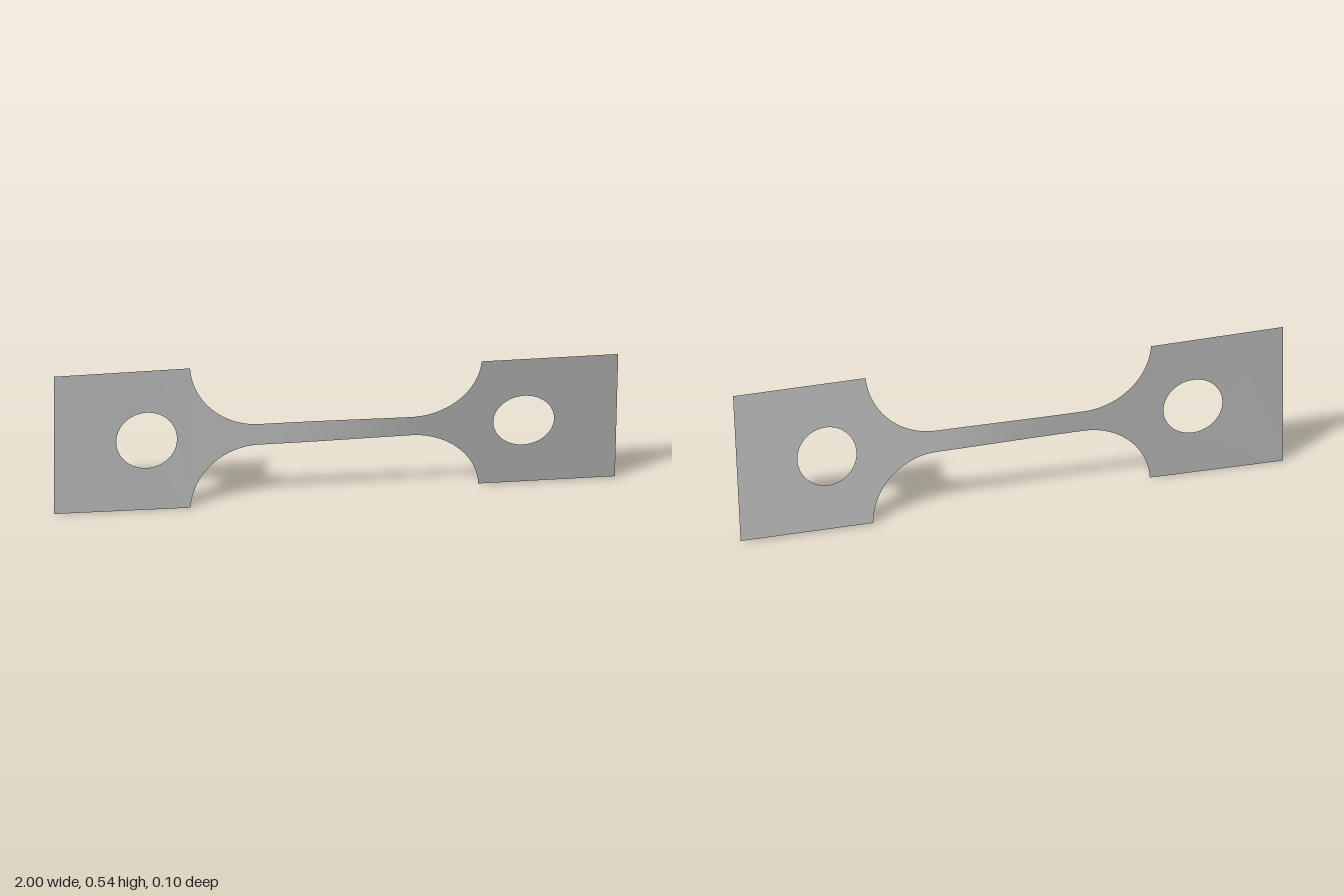
import * as THREE from 'three';

const HALF = 0.271;          // half height of the end plates
const NECK = 0.04;           // half height of the slim neck
const R = 0.245;             // fillet radius
const ARC_X = 0.27;          // where the fillets begin
const END_ANGLE = Math.acos((NECK + R - HALF) / R);
const PLATE_X = ARC_X + R * Math.sin(END_ANGLE);

// Twist about the long axis: slight backward lean, then a firm turn along the neck
function twistAt(x) {
  const lean = -0.03 * THREE.MathUtils.smoothstep(x, -1, -PLATE_X);
  return lean + 0.217 * THREE.MathUtils.smoothstep(x, -0.2, 0.35);
}

function twist(geometry) {
  const p = geometry.attributes.position;
  for (let i = 0; i < p.count; i++) {
    const x = p.getX(i), y = p.getY(i), a = twistAt(x);
    p.setXYZ(i, x, HALF + y * Math.cos(a), y * Math.sin(a));
  }
  geometry.computeVertexNormals();
  return geometry;
}

// Square grip plate with a round hole
function plate(side) {
  const x0 = side < 0 ? -1 : PLATE_X;
  const x1 = side < 0 ? -PLATE_X : 1;
  const shape = new THREE.Shape([
    new THREE.Vector2(x0, -HALF), new THREE.Vector2(x1, -HALF),
    new THREE.Vector2(x1, HALF), new THREE.Vector2(x0, HALF),
  ]);
  const hole = new THREE.Path();
  hole.absarc(side * 0.67, 0, 0.108, 0, Math.PI * 2, true);
  shape.holes.push(hole);
  return twist(new THREE.ShapeGeometry(shape, 32));
}

// Neck whose edges flare through circular fillets into both plates
function neck() {
  const g = new THREE.PlaneGeometry(2, 2, 80, 8);
  const p = g.attributes.position;
  for (let i = 0; i < p.count; i++) {
    const u = p.getX(i), t = Math.abs(u);
    let x = (t / 0.5) * ARC_X, h = NECK;
    if (t > 0.5) {
      const a = ((t - 0.5) / 0.5) * END_ANGLE;
      x = ARC_X + R * Math.sin(a);
      h = NECK + R * (1 - Math.cos(a));
    }
    p.setXY(i, Math.sign(u) * x, p.getY(i) * h);
  }
  return twist(g);
}

export function createModel() {
  const group = new THREE.Group();
  const metal = new THREE.MeshStandardMaterial({ color: 0xb4b4b4, side: THREE.DoubleSide });
  metal.name = 'sheet grey';
  const add = (name, geometry) => {
    const mesh = new THREE.Mesh(geometry, metal);
    mesh.name = name;
    group.add(mesh);
  };
  add('rightPlate', plate(-1));
  add('neck', neck());
  add('leftPlate', plate(1));
  return group;
}
